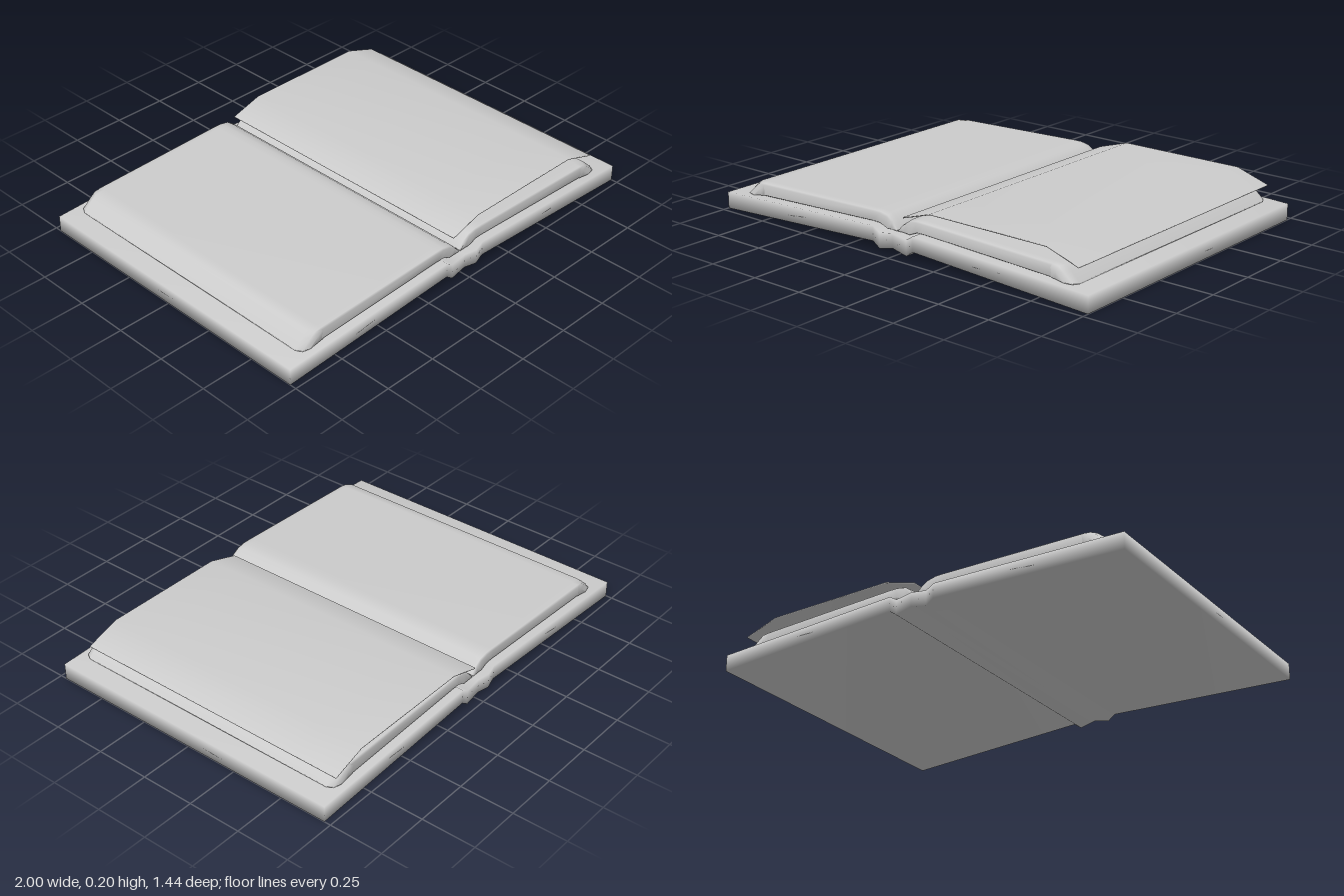
import * as THREE from 'three';

const material = new THREE.MeshStandardMaterial({ color: 0xcccccc, side: THREE.DoubleSide });

// Closed slab with shared, smooth vertices.
// cols: [x, topY, bottomY] in ascending x; rows: [z, outer inset, thickness factor] in ascending z.
function slab(name, cols, rows) {
  const pos = [], index = [];
  const n = cols.length, m = rows.length;
  for (const [z, inset = 0, k = 1] of rows) {
    for (const [x, top, bottom] of cols) {
      const px = Math.abs(x) > 0.8 ? x - Math.sign(x) * inset : x;
      const mid = (top + bottom) / 2, half = (top - bottom) / 2 * k;
      pos.push(px, mid + half, z, px, mid - half, z);
    }
  }
  const T = (r, c) => (r * n + c) * 2;
  const B = (r, c) => T(r, c) + 1;
  const quad = (a, b, c, d) => index.push(a, b, c, a, c, d);
  for (let r = 0; r < m - 1; r++) {
    for (let c = 0; c < n - 1; c++) {
      quad(T(r, c), T(r + 1, c), T(r + 1, c + 1), T(r, c + 1));
      quad(B(r, c), B(r, c + 1), B(r + 1, c + 1), B(r + 1, c));
    }
    quad(B(r, n - 1), T(r, n - 1), T(r + 1, n - 1), B(r + 1, n - 1));
    quad(B(r, 0), B(r + 1, 0), T(r + 1, 0), T(r, 0));
  }
  for (let c = 0; c < n - 1; c++) {
    quad(B(m - 1, c), B(m - 1, c + 1), T(m - 1, c + 1), T(m - 1, c));
    quad(B(0, c), T(0, c), T(0, c + 1), B(0, c + 1));
  }
  const geo = new THREE.BufferGeometry();
  geo.setAttribute('position', new THREE.Float32BufferAttribute(pos, 3));
  geo.setIndex(index);
  geo.computeVertexNormals();
  const mesh = new THREE.Mesh(geo, material);
  mesh.name = name;
  return mesh;
}

const mirrored = (cols) => cols.map(([x, t, b]) => [-x, t, b]).reverse();

export function createModel() {
  const book = new THREE.Group();
  book.name = 'openBook';

  // Cover: two sloping boards joined by a folded spine
  const board = [
    [0, 0.1, 0.035], [0.075, 0.088, 0.018], [0.11, 0.11, 0.043], [1, 0.075, 0],
  ];
  book.add(slab('cover', [...mirrored(board).slice(0, -1), ...board], [[-0.72], [0.72]]));

  // Page blocks: sloped fore edge, curved gutter, rounded ends
  const pages = [
    [0.004, 0.106, 0.101], [0.03, 0.138, 0.097], [0.06, 0.16, 0.092], [0.1, 0.167, 0.11],
    [0.14, 0.167, 0.111], [0.8, 0.149, 0.085], [0.845, 0.145, 0.083],
    [0.87, 0.125, 0.082], [0.912, 0.086, 0.08],
  ];
  const ends = [[0.69, 0.05, 0.7], [0.682, 0.015, 0.88], [0.655, 0, 1]];
  const rows = [...ends.map(([z, i, k]) => [-z, i, k]), ...[...ends].reverse()];
  book.add(slab('leftPages', pages, rows));
  book.add(slab('rightPages', mirrored(pages), rows));

  // Loose page lifted above the left block
  const t = 0.005;
  const sheet = [[0, 0.153], [0.15, 0.198], [0.75, 0.198], [0.905, 0.147]];
  book.add(slab('liftedPage', sheet.map(([x, y]) => [x, y, y - t]),
    [[-0.7], [-0.5], [0.45], [0.655]]));

  return book;
}
